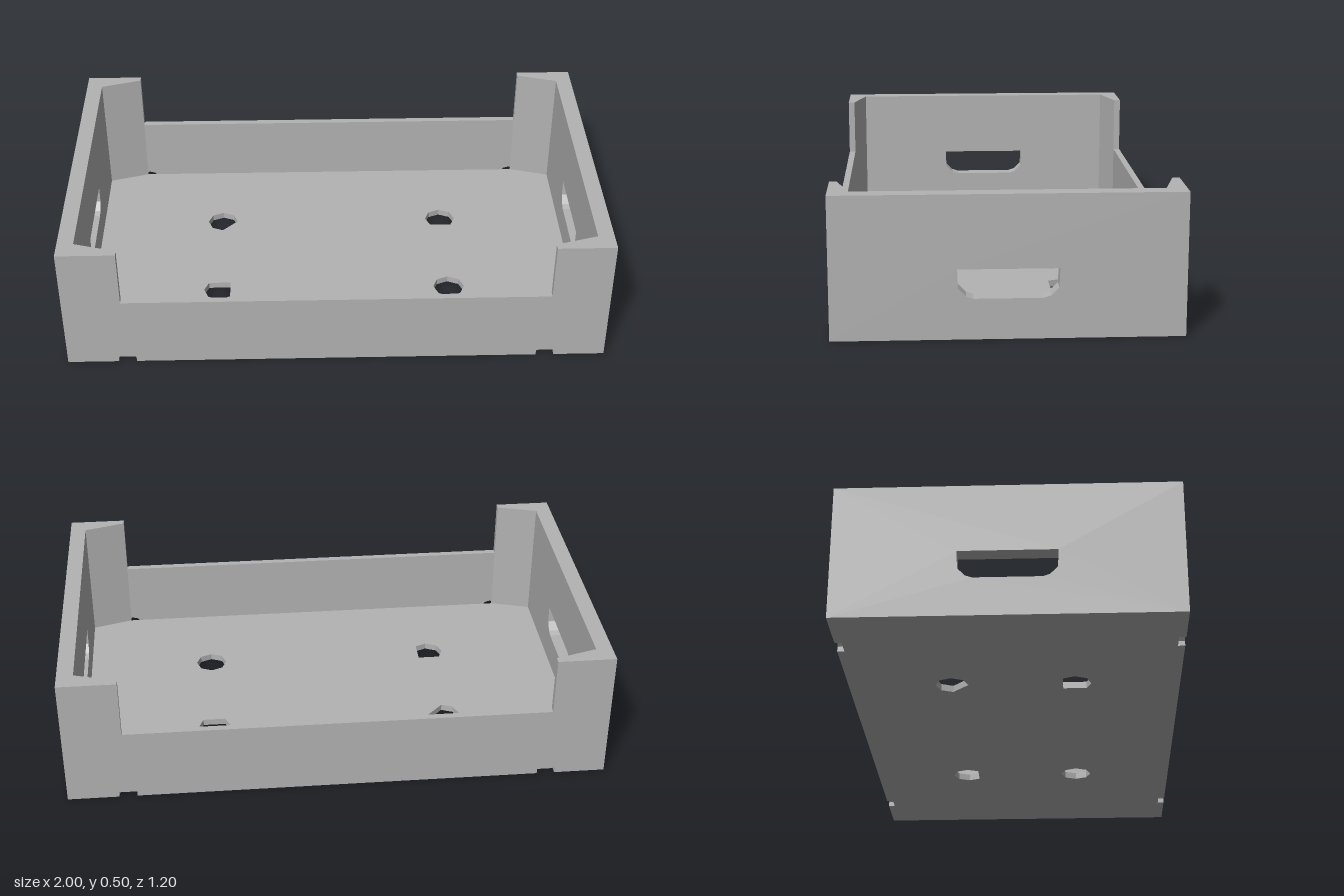
import * as THREE from 'three';

const HX = 1, HZ = 0.6, HEIGHT = 0.5;            // outer half sizes and end height
const IX = 0.94, IZ = 0.575;                     // inner faces of the walls
const POST = 0.785, LOW = 0.28, FLOOR = 0.025;   // post edge, low side height, floor thickness

const toPoints = (list) => list.map(([x, y]) => new THREE.Vector2(x, y));

// Extrude an outline with optional holes by a depth
function slab(outline, holes, depth) {
  const shape = new THREE.Shape(toPoints(outline));
  holes.forEach((h) => shape.holes.push(new THREE.Path(toPoints(h))));
  return new THREE.ExtrudeGeometry(shape, { depth, bevelEnabled: false });
}

export function createModel() {
  const model = new THREE.Group();
  model.name = 'crate';
  const grey = new THREE.MeshStandardMaterial({ color: 0xb3b3b3, flatShading: true });
  grey.name = 'grey plastic';

  const add = (name, geometry) => {
    const mesh = new THREE.Mesh(geometry, grey);
    mesh.name = name;
    model.add(mesh);
  };

  // Floor with four drain holes; each is an octagon missing some corners
  const drain = (cx, cz, skipped) => {
    const points = [];
    for (let i = 0; i < 8; i++) {
      if (skipped.includes(i)) continue;
      const a = (i * Math.PI) / 4;
      points.push([cx + 0.06 * Math.cos(a), cz + 0.06 * Math.sin(a)]);
    }
    return points;
  };
  const drains = [
    drain(-0.45, -0.225, [1]), drain(0.45, -0.225, [2]),
    drain(-0.45, 0.22, [0, 6]), drain(0.45, 0.22, []),
  ];
  const floor = slab([[-IX, -IZ], [IX, -IZ], [IX, IZ], [-IX, IZ]], drains, FLOOR);
  floor.rotateX(Math.PI / 2).translate(0, FLOOR, 0);
  add('floor', floor);

  // End walls with a hand hole
  const handHole = [
    [-0.172, 0.244], [-0.169, 0.178], [-0.142, 0.15], [-0.118, 0.142],
    [0.118, 0.142], [0.142, 0.15], [0.169, 0.178], [0.172, 0.244],
  ];
  for (const side of [-1, 1]) {
    const end = slab([[-HZ, 0], [HZ, 0], [HZ, HEIGHT], [-HZ, HEIGHT]], [handHole], HX - IX);
    end.rotateY(Math.PI / 2).translate(side > 0 ? IX : -HX, 0, 0);
    add(side > 0 ? 'leftEndWall' : 'rightEndWall', end);
  }

  // Long walls: low in the middle, tall at the corners, arched notches at the foot
  const notch = (cx) => [
    [-0.033, 0], [-0.033, 0.018], [-0.022, 0.033], [0, 0.039],
    [0.022, 0.033], [0.033, 0.018], [0.033, 0],
  ].map(([x, y]) => [cx + x, y]);
  const sideOutline = [
    [-IX, 0], ...notch(-0.778), ...notch(0.778), [IX, 0],
    [IX, HEIGHT], [POST, HEIGHT], [POST, LOW], [-POST, LOW], [-POST, HEIGHT], [-IX, HEIGHT],
  ];
  for (const side of [-1, 1]) {
    const wall = slab(sideOutline, [], HZ - IZ);
    wall.translate(0, 0, side > 0 ? IZ : -HZ);
    add(side > 0 ? 'frontWall' : 'backWall', wall);
  }

  // Slanted fillers inside the four corners
  for (const sx of [-1, 1]) {
    for (const sz of [-1, 1]) {
      const outline = [[POST, IZ], [IX, IZ], [IX, 0.53]].map(([x, z]) => [x * sx, z * sz]);
      const filler = slab(outline, [], HEIGHT - FLOOR);
      filler.rotateX(Math.PI / 2).translate(0, HEIGHT, 0);
      add('cornerFiller', filler);
    }
  }
  return model;
}
